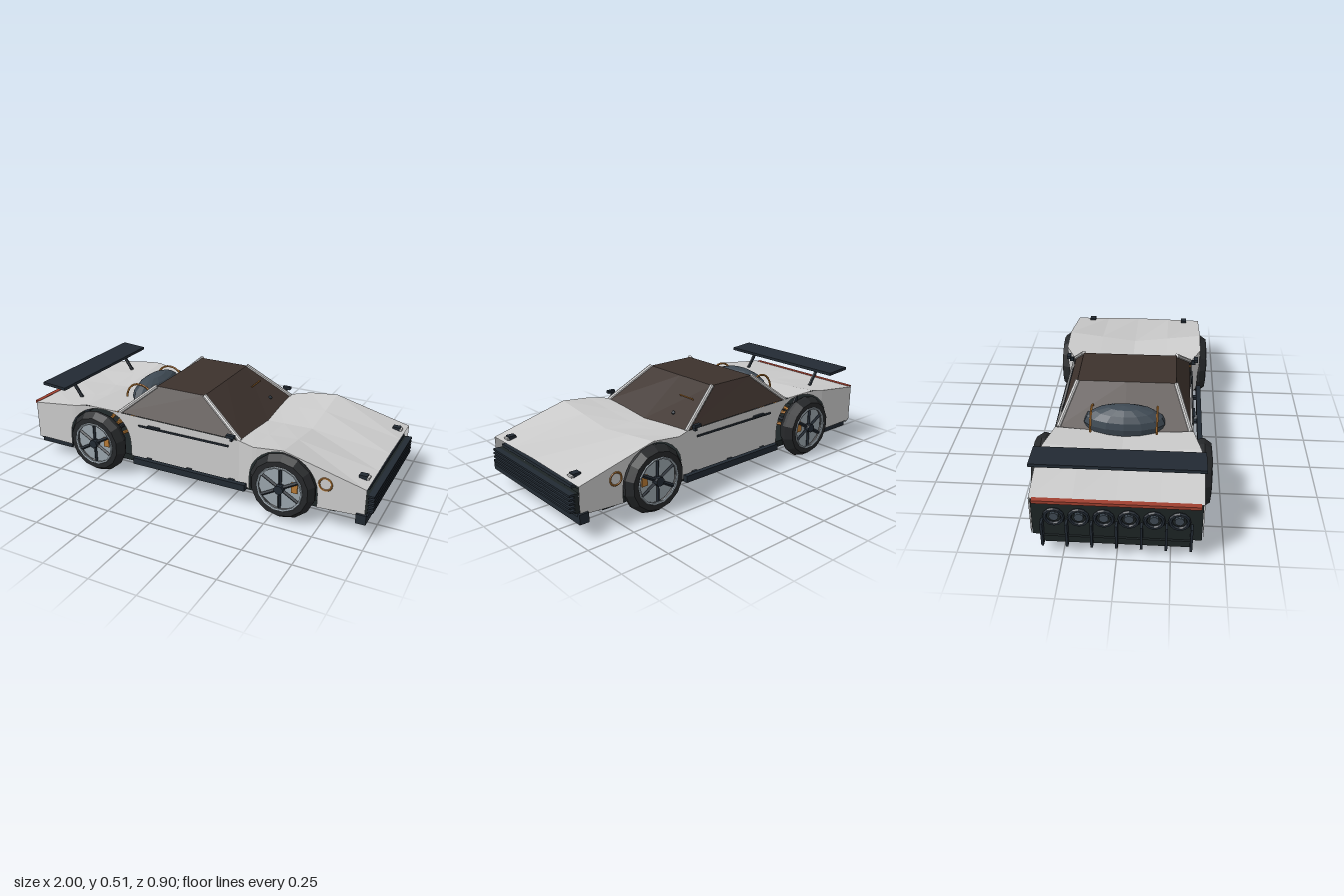
import * as THREE from 'three';

const mat = (color, extra = {}) => new THREE.MeshStandardMaterial({ color, flatShading: true, side: THREE.DoubleSide, ...extra });
const M = {
  body: mat(0xcccccc), dark: mat(0x222a33), floor: mat(0x1e2526), tyre: mat(0x26282a),
  glass: mat(0x3d322d), copper: mat(0xb87a35), red: mat(0xa04030), rim: mat(0x9aa5ad), engine: mat(0x3f4a54),
};
const V = (x, y, z) => new THREE.Vector3(x, y, z);

// Piecewise linear curve through [x, value] pairs
const curve = (pts) => (x) => {
  let i = 0;
  while (i < pts.length - 2 && x > pts[i + 1][0]) i++;
  const [a, b] = [pts[i], pts[i + 1]];
  return a[1] + (b[1] - a[1]) * (x - a[0]) / (b[0] - a[0]);
};
const shoulderY = curve([[-0.97, 0.325], [-0.62, 0.37], [-0.43, 0.35], [0.29, 0.34], [0.55, 0.367], [0.97, 0.26]]);
const spineY = curve([[-0.97, 0.325], [-0.62, 0.345], [-0.46, 0.33], [0.29, 0.315], [0.55, 0.318], [0.97, 0.267]]);
const sideZ = curve([[-0.97, 0.395], [-0.7, 0.4], [-0.45, 0.348], [0.29, 0.348], [0.39, 0.4], [0.97, 0.4]]);
const AXLES = [-0.55, 0.55], AXLE_Y = 0.175;

export function createModel() {
  const car = new THREE.Group();
  car.name = 'sportsCar';

  const add = (name, geometry, material, x = 0, y = 0, z = 0, parent = car) => {
    const m = new THREE.Mesh(geometry, material);
    m.name = name;
    m.position.set(x, y, z);
    parent.add(m);
    return m;
  };
  const box = (name, material, x0, x1, y0, y1, z0, z1) =>
    add(name, new THREE.BoxGeometry(x1 - x0, y1 - y0, z1 - z0), material, (x0 + x1) / 2, (y0 + y1) / 2, (z0 + z1) / 2);
  const rod = (name, material, a, b, r, sides = 6, parent = car) => {
    const d = b.clone().sub(a), mid = a.clone().add(b).multiplyScalar(0.5);
    const m = add(name, new THREE.CylinderGeometry(r, r, d.length(), sides), material, mid.x, mid.y, mid.z, parent);
    m.quaternion.setFromUnitVectors(V(0, 1, 0), d.normalize());
    return m;
  };
  // Faceted surface through rows of points
  const skin = (name, material, rows, flip = false) => {
    const pos = [];
    for (let i = 0; i < rows.length - 1; i++) for (let j = 0; j < rows[i].length - 1; j++) {
      const [a, b, c, d] = [rows[i][j], rows[i][j + 1], rows[i + 1][j + 1], rows[i + 1][j]];
      for (const p of flip ? [a, c, b, a, d, c] : [a, b, c, a, c, d]) pos.push(p.x, p.y, p.z);
    }
    const g = new THREE.BufferGeometry();
    g.setAttribute('position', new THREE.Float32BufferAttribute(pos, 3));
    g.computeVertexNormals();
    return add(name, g, material);
  };

  // Side panels: columns running along the car, their lower edge cut by the wheel arches
  const columns = [[-0.97, 0.115]];
  const R = 0.183;
  AXLES.forEach((cx, k) => {
    const low = k ? 0.105 : 0.115;
    columns.push([cx - R, low]);
    for (let i = 0; i <= 14; i++) {
      const a = Math.PI * (1 - i / 14), x = cx + R * Math.cos(a);
      columns.push([x, Math.min(AXLE_Y + R * Math.sin(a), shoulderY(x) - 0.006)]);
    }
    columns.push([cx + R, 0.105]);
    if (!k) columns.push([0.29, 0.105]);
  });
  columns.push([0.97, 0.12]);
  for (const s of [1, -1]) {
    skin('sidePanel', M.body, columns.map(([x, y]) => [V(x, y, s * sideZ(x)), V(x, shoulderY(x), s * sideZ(x))]), s > 0);
  }

  // Hood and rear deck, dipping towards the middle
  const deck = (name, xs) => skin(name, M.body, xs.map((x) => [-1, -0.5, 0, 0.5, 1].map((t) => {
    const y = spineY(x) + (shoulderY(x) - spineY(x)) * Math.abs(t);
    return V(x, y, t * sideZ(x));
  })));
  deck('hood', [0.29, 0.39, 0.55, 0.97]);
  deck('rearDeck', [-0.97, -0.7, -0.62, -0.45]);

  // Cabin glass, roof and corner pillars
  const base = [V(0.29, 0.335, 0.335), V(0.3, 0.313, 0), V(0.29, 0.335, -0.335),
    V(-0.44, 0.345, -0.335), V(-0.455, 0.325, 0), V(-0.44, 0.345, 0.335)];
  const top = [V(0.045, 0.505, 0.255), V(0.045, 0.505, 0), V(0.045, 0.505, -0.255),
    V(-0.245, 0.505, -0.255), V(-0.245, 0.505, 0), V(-0.245, 0.505, 0.255)];
  skin('cabinGlass', M.glass, [[...base, base[0]], [...top, top[0]]]);
  skin('roof', M.glass, [[top[5], top[0]], [top[3], top[2]]], true);
  for (const i of [0, 2, 3, 5]) rod('pillar', M.body, base[i], top[i], 0.012, 8);

  // Wiper and sensor on the windscreen
  rod('wiper', M.copper, V(0.147, 0.444, -0.12), V(0.147, 0.444, -0.215), 0.004);
  for (const z of [-0.12, -0.215]) rod('wiperEnd', M.copper, V(0.147, 0.444, z), V(0.14, 0.437, z), 0.004);
  add('screenSensor', new THREE.OctahedronGeometry(0.013), M.engine, 0.235, 0.376, -0.167);

  // Engine dome with copper hoops
  add('engineDome', new THREE.SphereGeometry(1, 14, 8), M.engine, -0.41, 0.375, 0).scale.set(0.09, 0.09, 0.21);
  for (const z of [-0.165, 0.165]) add('engineHoop', new THREE.TorusGeometry(0.088, 0.006, 5, 14, Math.PI), M.copper, -0.415, 0.365, z);

  // Floor, bulkheads and side skirts
  box('floor', M.floor, -0.97, 0.81, 0.07, 0.105, -0.34, 0.34);
  box('rearPanel', M.floor, -0.96, -0.945, 0.105, 0.32, -0.39, 0.39);
  for (const s of [1, -1]) {
    const side = (name, material, x0, x1, y0, y1, z0, z1) =>
      box(name, material, x0, x1, y0, y1, Math.min(s * z0, s * z1), Math.max(s * z0, s * z1));
    side('sideSkirt', M.dark, -0.315, 0.35, 0.095, 0.13, 0.383, 0.41);
    for (const x of [-0.25, 0, 0.25]) side('skirtBracket', M.dark, x - 0.015, x + 0.015, 0.1, 0.115, 0.34, 0.39);
    side('beltStrip', M.dark, -0.31, 0.23, 0.292, 0.302, 0.345, 0.354);
    side('doorHandle', M.dark, -0.25, -0.175, 0.3, 0.311, 0.345, 0.362);
    side('mirror', M.dark, 0.23, 0.275, 0.357, 0.373, 0.36, 0.382);
    side('mirrorStem', M.dark, 0.245, 0.258, 0.335, 0.36, 0.345, 0.368);
    side('headlight', M.dark, 0.905, 0.945, 0.265, 0.287, 0.285, 0.32);
    side('headlightLens', M.body, 0.945, 0.955, 0.27, 0.28, 0.285, 0.32);
    side('splitterEnd', M.dark, 0.93, 0.98, 0.08, 0.13, 0.395, 0.412);
    add('sideMarkerRing', new THREE.TorusGeometry(0.032, 0.005, 6, 16), M.copper, 0.77, 0.24, s * 0.4);
    rod('wingStrut', M.dark, V(-0.82, 0.445, s * 0.255), V(-0.75, 0.345, s * 0.255), 0.01);
  }

  // Nose: grille, slats and splitter
  box('grille', M.floor, 0.95, 0.972, 0.115, 0.212, -0.365, 0.365);
  for (let i = 0; i < 5; i++) box('grilleSlat', M.dark, 0.97, 1.0, 0.124 + i * 0.02, 0.134 + i * 0.02, -0.365, 0.365);
  box('splitter', M.dark, 0.93, 0.98, 0.08, 0.115, -0.412, 0.412);
  box('noseLip', M.dark, 0.94, 0.965, 0.226, 0.242, -0.33, 0.33);

  // Rear wing
  const wing = box('rearWing', M.dark, -0.9, -0.753, 0.441, 0.457, -0.4, 0.4);
  wing.rotation.z = -0.07;

  // Tail: light bar, diffuser fins and exhaust pipes
  box('tailLight', M.red, -0.99, -0.965, 0.312, 0.328, -0.38, 0.38);
  const fin = new THREE.Shape([[-0.78, 0.06], [-0.99, 0.06], [-0.998, 0.2], [-0.95, 0.2], [-0.9, 0.115], [-0.78, 0.115]]
    .map(([x, y]) => new THREE.Vector2(x, y)));
  const finGeo = new THREE.ExtrudeGeometry(fin, { depth: 0.012, bevelEnabled: false });
  for (let i = -3; i <= 3; i++) add('diffuserFin', finGeo, M.dark, 0, 0, i * 0.114 - 0.006);
  for (let i = -2.5; i <= 2.5; i++) {
    const ring = add('exhaustRing', new THREE.TorusGeometry(0.042, 0.01, 6, 12), M.dark, -0.972, 0.225, i * 0.114);
    ring.rotation.y = Math.PI / 2;
    rod('exhaustPipe', M.engine, V(-0.95, 0.225, i * 0.114), V(-0.975, 0.225, i * 0.114), 0.022, 10);
  }

  // Wheels: wedge tread tyre, dished rim, six spokes, hub and caliper
  const tyreGeo = new THREE.LatheGeometry([[0.115, -0.045], [0.15, -0.045], [0.175, -0.008], [0.175, 0.008], [0.15, 0.045], [0.118, 0.045]]
    .map(([r, y]) => new THREE.Vector2(r, y)), 14).rotateX(Math.PI / 2);
  const discGeo = new THREE.CylinderGeometry(0.117, 0.117, 0.05, 14).rotateX(Math.PI / 2);
  for (const x of AXLES) {
    rod('axle', M.dark, V(x, AXLE_Y, -0.38), V(x, AXLE_Y, 0.38), 0.014, 8);
    for (const s of [1, -1]) {
      const wheel = new THREE.Group();
      wheel.name = 'wheel';
      wheel.position.set(x, AXLE_Y, s * 0.393);
      car.add(wheel);
      add('tyre', tyreGeo, M.tyre, 0, 0, 0, wheel);
      add('rimDisc', discGeo, M.rim, 0, 0, 0, wheel);
      add('rimRing', new THREE.TorusGeometry(0.117, 0.007, 5, 14), M.rim, 0, 0, s * 0.043, wheel);
      for (let i = 0; i < 6; i++) {
        const a = i * Math.PI / 3 + Math.PI / 6;
        rod('spoke', M.dark, V(0, 0, s * 0.035), V(0.115 * Math.cos(a), 0.115 * Math.sin(a), s * 0.035), 0.009, 4, wheel);
      }
      rod('hub', M.dark, V(0, 0, 0), V(0, 0, s * 0.057), 0.024, 10, wheel);
      add('caliper', new THREE.BoxGeometry(0.032, 0.055, 0.02), M.copper, 0.073, 0.018, s * 0.022, wheel);
      // Suspension arms
      for (const dx of [-0.08, 0.08]) for (const y of [0.15, 0.225])
        rod('suspensionArm', M.copper, V(x + dx, y + 0.01, s * 0.06), V(x, y, s * 0.355), 0.01);
    }
  }
  return car;
}
